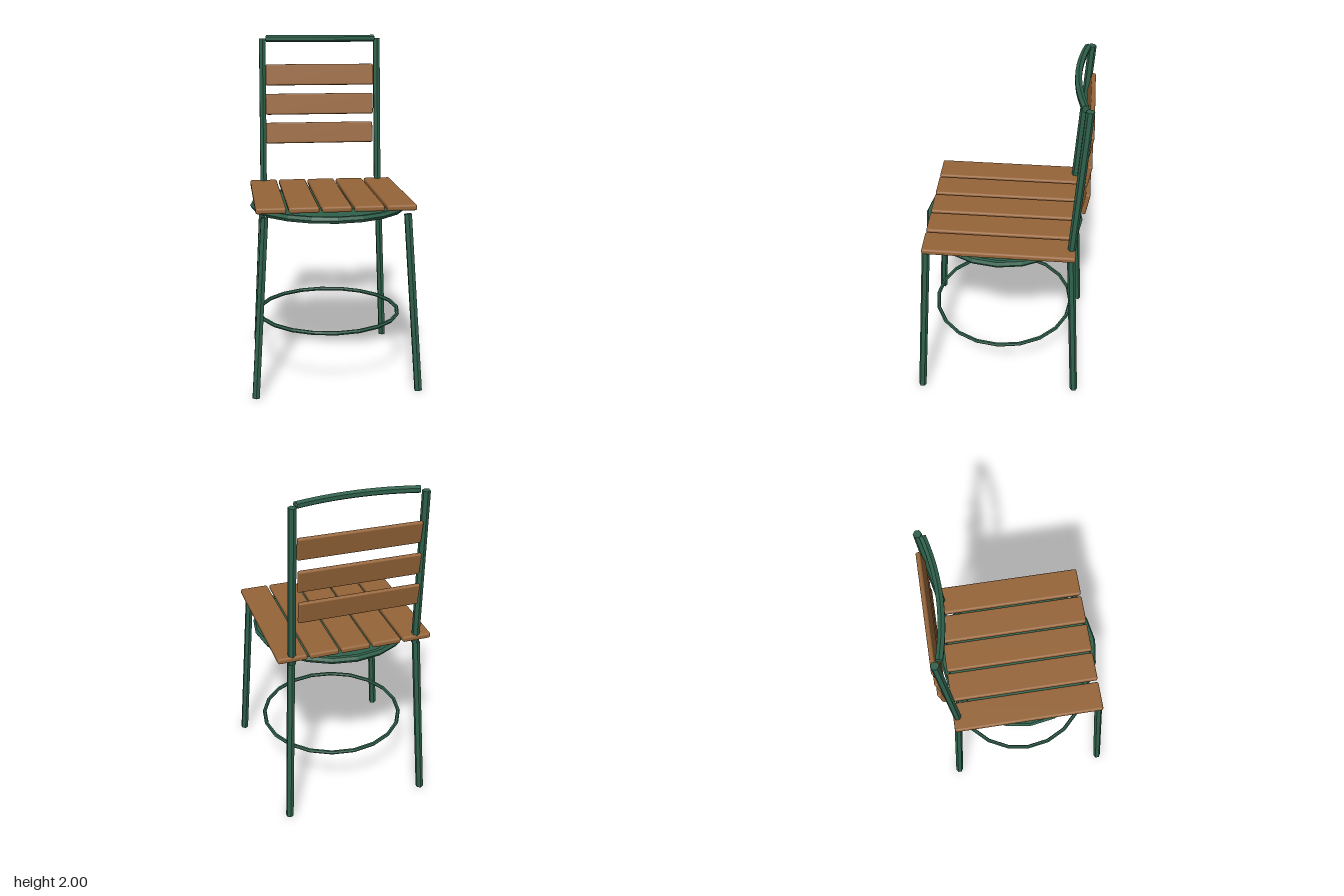
import * as THREE from 'three';
import { RoundedBoxGeometry } from 'three/addons/geometries/RoundedBoxGeometry.js';

const metal = new THREE.MeshStandardMaterial({ color: 0x2f614c, flatShading: true });
const wood = new THREE.MeshStandardMaterial({ color: 0x966539 });

export function createModel() {
  const model = new THREE.Group();

  const add = (name, geometry, material, x = 0, y = 0, z = 0) => {
    const mesh = new THREE.Mesh(geometry, material);
    mesh.name = name;
    mesh.position.set(x, y, z);
    model.add(mesh);
    return mesh;
  };

  // Six-sided straight bar between two points
  const bar = (name, from, to, radius = 0.023) => {
    const a = new THREE.Vector3(...from);
    const b = new THREE.Vector3(...to);
    const dir = b.clone().sub(a);
    const mid = a.clone().add(b).multiplyScalar(0.5);
    const mesh = add(name, new THREE.CylinderGeometry(radius, radius, dir.length(), 6), metal, mid.x, mid.y, mid.z);
    mesh.quaternion.setFromUnitVectors(new THREE.Vector3(0, 1, 0), dir.normalize());
  };

  // Horizontal faceted ring
  const ring = (name, radius, tube, y) =>
    add(name, new THREE.TorusGeometry(radius, tube, 6, 20).rotateX(Math.PI / 2), metal, 0, y, 0);

  // Splayed legs and backrest posts, mirrored left and right
  for (const [side, s] of [['left', 1], ['right', -1]]) {
    bar(side + 'FrontLeg', [s * 0.468, 0.002, 0.474], [s * 0.402, 1.035, 0.411]);
    bar(side + 'BackLeg', [s * 0.422, 0.002, -0.474], [s * 0.372, 1.035, -0.411]);
    bar(side + 'BackPost', [s * 0.368, 1.03, -0.409], [s * 0.36, 1.98, -0.465]);
  }

  // Round seat frame: plate with a rim, and the foot ring below
  add('seatPlate', new THREE.CylinderGeometry(0.447, 0.447, 0.02, 20).rotateY(Math.PI / 2), metal, 0, 1.018, 0);
  ring('seatRim', 0.447, 0.021, 1.018);
  ring('footRing', 0.425, 0.012, 0.35);

  // Seat slats running front to back
  for (let i = -2; i <= 2; i++) {
    add('seatSlat', new RoundedBoxGeometry(0.17, 0.034, 0.866, 2, 0.012), wood, i * 0.1835, 1.073, -0.004);
  }

  // Leaning backrest slats
  for (const y of [1.384, 1.568, 1.753]) {
    const slat = add('backSlat', new RoundedBoxGeometry(0.686, 0.132, 0.025, 2, 0.01), wood, 0, y, -0.473);
    slat.rotation.x = -0.17;
  }

  // Top rail bowed towards the front
  const railCurve = new THREE.QuadraticBezierCurve3(
    new THREE.Vector3(-0.337, 1.98, -0.44),
    new THREE.Vector3(0, 1.98, -0.352),
    new THREE.Vector3(0.337, 1.98, -0.44)
  );
  add('topRail', new THREE.TubeGeometry(railCurve, 12, 0.021, 6), metal);

  // End caps of the rail
  for (const t of [0, 1]) {
    const cap = add('topRailCap', new THREE.CircleGeometry(0.021, 6), metal);
    cap.position.copy(railCurve.getPoint(t));
    const outward = railCurve.getTangent(t).multiplyScalar(t ? 1 : -1);
    cap.lookAt(cap.position.clone().add(outward));
  }

  return model;
}
